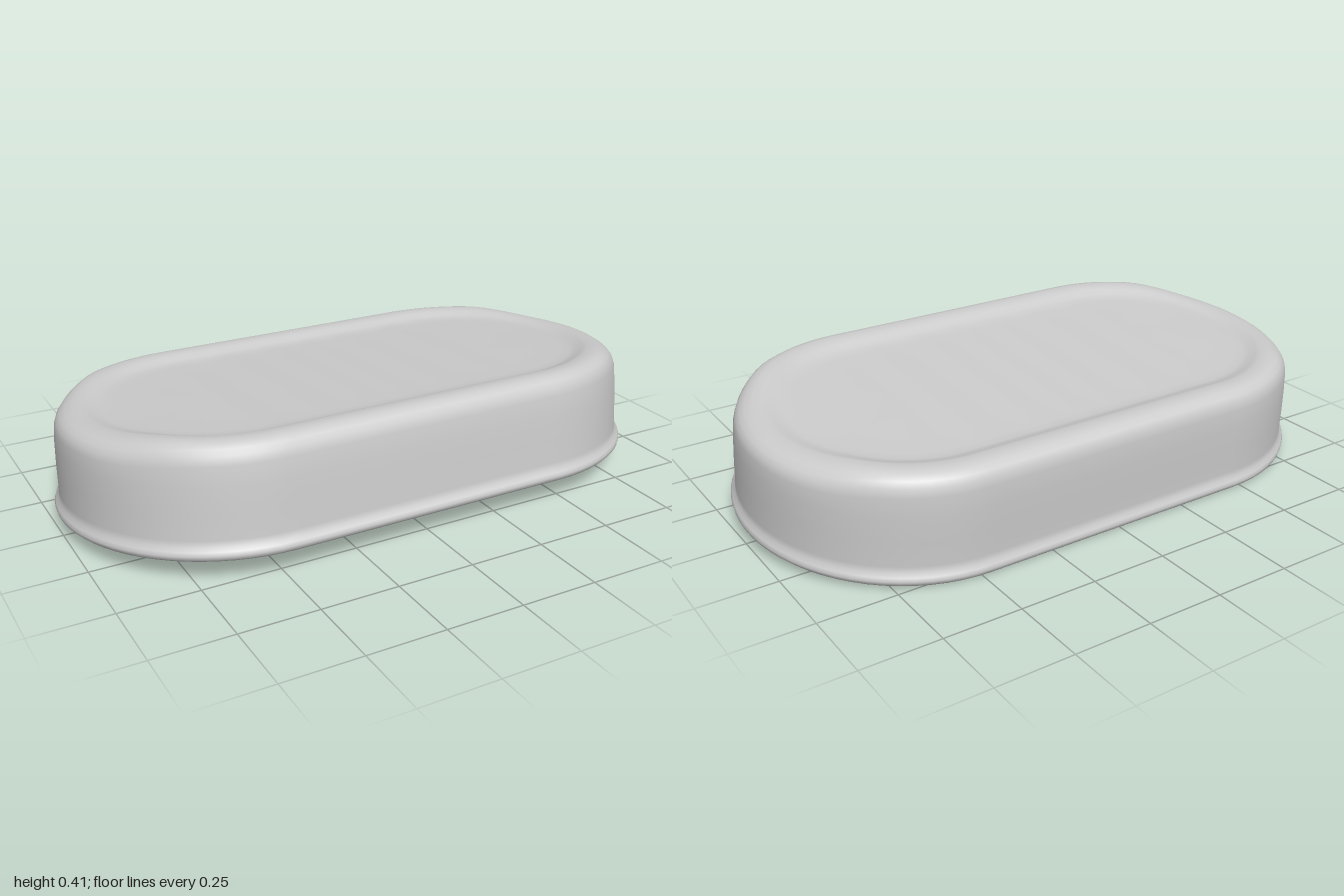
import * as THREE from 'three';

const material = new THREE.MeshStandardMaterial({ color: 0xcccccc, side: THREE.DoubleSide });
const STRAIGHT = 0.47, END_X = 0.53, END_Z = 0.557;
const smooth = THREE.MathUtils.smoothstep;

// Rounded oblong outline: two elliptical ends joined by straight sides.
function outlinePoints() {
  const points = [], arc = 36, side = 40;
  for (const s of [1, -1]) {
    for (let i = 0; i <= arc; i++) {
      const t = -Math.PI / 2 + (Math.PI * i) / arc;
      points.push({ cx: s * STRAIGHT, nx: s * Math.cos(t), nz: s * Math.sin(t) });
    }
    for (let i = 1; i < side; i++) {
      points.push({ cx: s * STRAIGHT * (1 - (2 * i) / side), nx: 0, nz: s });
    }
  }
  return points;
}

// Skin a profile of [inset, height] steps around the outline.
function sweepProfile(profile, adjust) {
  const outline = outlinePoints(), n = outline.length;
  const positions = [], index = [];
  profile.forEach(([inset, y], i) => {
    outline.forEach(({ cx, nx, nz }, j) => {
      const x = cx + nx * Math.max(END_X - inset, 0);
      const z = nz * Math.max(END_Z - inset, 0);
      positions.push(x, adjust(x, y, z, inset), z);
      if (i === profile.length - 1) return;
      const a = i * n + j, b = i * n + ((j + 1) % n);
      index.push(a, a + n, b, b, a + n, b + n);
    });
  });
  const geometry = new THREE.BufferGeometry();
  geometry.setAttribute('position', new THREE.Float32BufferAttribute(positions, 3));
  geometry.setIndex(index);
  geometry.computeVertexNormals();
  return geometry;
}

function addMesh(parent, name, geometry) {
  const mesh = new THREE.Mesh(geometry, material);
  mesh.name = name;
  parent.add(mesh);
  return mesh;
}

export function createModel() {
  const model = new THREE.Group();
  model.name = 'tin';

  // The tin rests upside down and leans slightly, its front edge raised.
  const tin = new THREE.Group();
  tin.name = 'tiltedTin';
  tin.rotation.x = -0.072;
  tin.position.set(0, 0.042, 0.002);
  model.add(tin);

  // Walls, seam flange and the base with its shallow sunken panel.
  const bodyProfile = [
    [0.026, 0.008], [0.02, 0.002], [0.01, 0], [0.002, 0.008], [0, 0.018], [0.004, 0.03],
    [0.014, 0.04], [0.017, 0.06], [0.018, 0.14], [0.021, 0.22], [0.025, 0.28], [0.032, 0.307],
    [0.044, 0.324], [0.062, 0.336], [0.085, 0.341], [0.115, 0.34], [0.135, 0.333],
    [0.155, 0.324], [0.175, 0.319], [0.21, 0.317], [0.3, 0.317], [0.42, 0.317], [0.5, 0.317], [0.56, 0.317],
  ];
  addMesh(tin, 'body', sweepProfile(bodyProfile, (x, y, z, inset) => {
    // The raised border sinks towards both ends; the panel has faint ripples.
    const ends = smooth(Math.abs(x), 0.74, 0.94) * smooth(y, 0.2, 0.34);
    const panel = smooth(inset, 0.16, 0.24) * (1 - smooth(Math.abs(x), 0.4, 0.6));
    return y - 0.024 * ends + 0.0015 * panel * Math.sin(x * 38 + Math.sin(x * 9));
  }));

  // Recessed lid inside the flange.
  const lidProfile = [
    [0.6, 0.05], [0.45, 0.05], [0.3, 0.05], [0.15, 0.05], [0.07, 0.05], [0.045, 0.048],
    [0.034, 0.04], [0.028, 0.022], [0.026, 0.008],
  ];
  addMesh(tin, 'lid', sweepProfile(lidProfile, (x, y) => y));

  // Pull tab on the lid: a domed plate with a smaller ring by the edge.
  const tab = new THREE.Group();
  tab.name = 'pullTab';
  tab.position.set(0, 0.05, 0.03);
  tab.rotation.x = Math.PI;
  tin.add(tab);

  const plate = [[0.001, 0.018], [0.05, 0.018], [0.085, 0.02], [0.105, 0.024], [0.12, 0.018], [0.13, 0]];
  addMesh(tab, 'tabPlate', new THREE.LatheGeometry(
    plate.map(([r, y]) => new THREE.Vector2(r, y)).reverse(), 40)).position.x = 0.62;

  const ring = addMesh(tab, 'tabRing', new THREE.TorusGeometry(0.068, 0.018, 12, 36));
  ring.rotation.x = Math.PI / 2;
  ring.position.set(0.81, 0.008, 0);

  return model;
}
